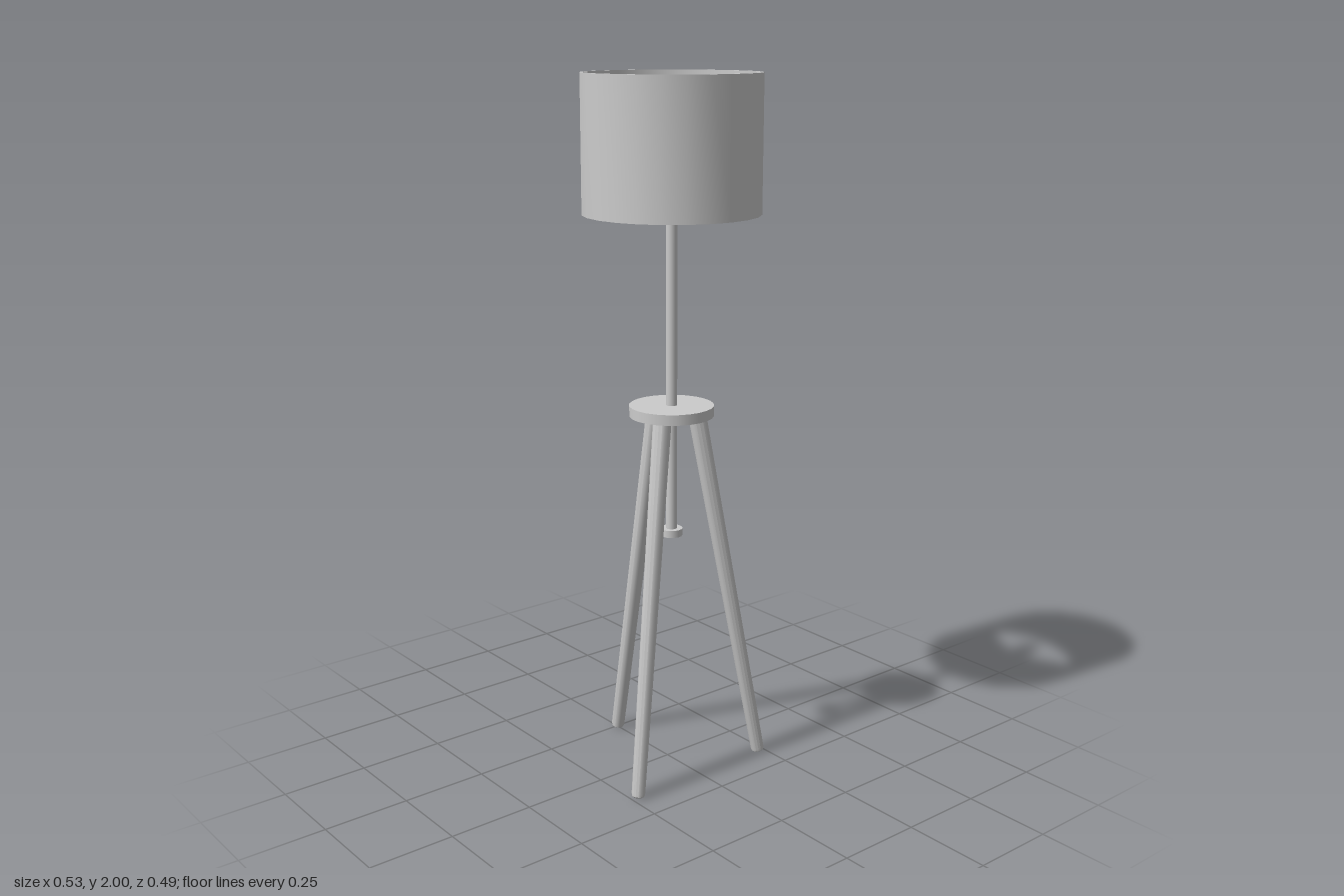
import * as THREE from 'three';
import { toCreasedNormals } from 'three/addons/utils/BufferGeometryUtils.js';

const material = new THREE.MeshStandardMaterial({ color: 0xcccccc });
const V = (x, y) => new THREE.Vector2(x, y);

export function createModel() {
  const lamp = new THREE.Group();
  lamp.name = 'tripodFloorLamp';
  lamp.position.x = 0.018; // tripod footprint is centred, the pole sits beside it

  const add = (name, geometry, parent = lamp) => {
    const mesh = new THREE.Mesh(geometry, material);
    mesh.name = name;
    parent.add(mesh);
    return mesh;
  };
  const disc = (name, radius, y0, y1, sides = 24) => {
    const mesh = add(name, new THREE.CylinderGeometry(radius, radius, y1 - y0, sides));
    mesh.position.y = (y0 + y1) / 2;
    return mesh;
  };
  const lathe = (points, sides) =>
    toCreasedNormals(new THREE.LatheGeometry(points, sides), 0.6);

  // Drum shade: a thin-walled open tube
  add('shade', lathe([
    V(0.236, 1.625), V(0.246, 1.625), V(0.246, 2), V(0.236, 2), V(0.236, 1.625),
  ], 24));

  // Four spokes carrying the shade
  for (let i = 0; i < 4; i++) {
    const arm = new THREE.Group();
    arm.name = 'shadeSpoke';
    arm.rotation.y = i * Math.PI / 2;
    lamp.add(arm);
    const rod = add('spokeRod', new THREE.CylinderGeometry(0.005, 0.005, 0.228, 8), arm);
    rod.rotation.z = Math.PI / 2;
    rod.position.set(0.124, 1.715, 0);
  }

  // Socket and bulb
  disc('socket', 0.027, 1.69, 1.745, 16);
  const bulb = add('bulb', new THREE.SphereGeometry(0.036, 12, 10));
  bulb.position.y = 1.775;

  // Pole through the tripod plate, with its end stop
  disc('pole', 0.016, 0.715, 1.7, 16);
  disc('poleStop', 0.032, 0.705, 0.726, 16);
  disc('tripodPlate', 0.12, 1.06, 1.09);

  // Three tapered, splayed legs with bevelled feet
  const top = new THREE.Vector3(0.072, 1.065, 0);
  const foot = new THREE.Vector3(0.265, 0.003, 0);
  const length = top.distanceTo(foot);
  const legGeometry = lathe([
    V(0, 0), V(0.013, 0), V(0.018, 0.004), V(0.0195, 0.012), V(0.026, length), V(0, length),
  ], 16);
  for (let i = 0; i < 3; i++) {
    const pivot = new THREE.Group();
    pivot.name = 'legPivot';
    pivot.rotation.y = Math.PI + i * Math.PI * 2 / 3;
    lamp.add(pivot);
    const leg = add('leg', legGeometry, pivot);
    leg.position.copy(foot);
    leg.rotation.z = Math.atan2(foot.x - top.x, top.y - foot.y);
  }

  const model = new THREE.Group();
  model.name = 'floorLamp';
  model.add(lamp);
  return model;
}
